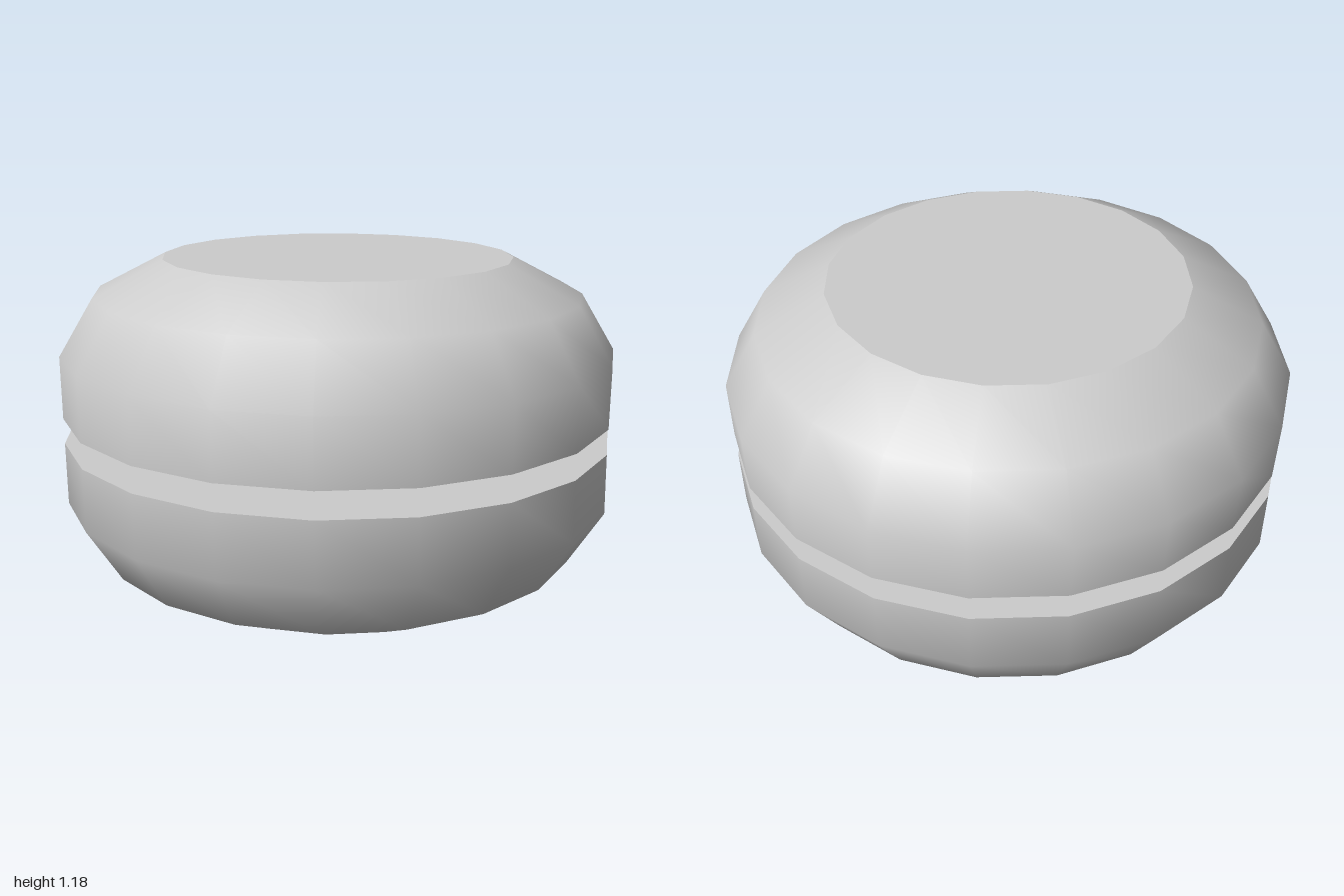
import * as THREE from 'three';

const SIDES = 20;
const RIM_Y = 0.045; // half the width of the gap
const MID_Y = 0.587; // height of the centre plane

const material = new THREE.MeshStandardMaterial({ color: 0xcccccc });

function lathe(points) {
  return new THREE.LatheGeometry(points.map(([r, y]) => new THREE.Vector2(r, y)), SIDES);
}

// Slight hand-made irregularity: rings above the rim tilt and bulge to the back
function skew(geometry) {
  const p = geometry.attributes.position;
  for (let i = 0; i < p.count; i++) {
    const x = p.getX(i), y = p.getY(i), z = p.getZ(i);
    if (y < RIM_Y + 0.01) continue;
    const r = Math.hypot(x, z);
    p.setY(i, y + 0.005 * (z - x));
    if (z < 0 && r > 0.01) p.setZ(i, z + 0.016 * z / r);
  }
  return geometry;
}

// One rounded half: smooth shell, flat outer face, flat inner face
function makeHalf(name) {
  const half = new THREE.Group();
  half.name = name;
  const parts = {
    shell: [[0.985, RIM_Y], [0.985, 0.261], [0.865, 0.458], [0.62, 0.584]],
    outerFace: [[0.62, 0.584], [0, 0.584]],
    innerFace: [[0, RIM_Y], [0.985, RIM_Y]],
  };
  for (const [part, points] of Object.entries(parts)) {
    const mesh = new THREE.Mesh(skew(lathe(points)), material);
    mesh.name = part;
    half.add(mesh);
  }
  half.position.y = MID_Y;
  return half;
}

export function createModel() {
  const model = new THREE.Group();
  model.name = 'yoyo';

  const upper = makeHalf('upperHalf');
  const lower = makeHalf('lowerHalf');
  lower.rotation.x = Math.PI; // the same half turned over

  // Axle joining the halves
  const axle = new THREE.Mesh(new THREE.CylinderGeometry(0.367, 0.367, RIM_Y * 2, SIDES, 1, true), material);
  axle.name = 'axle';
  axle.position.y = MID_Y;

  model.add(upper, lower, axle);
  return model;
}
